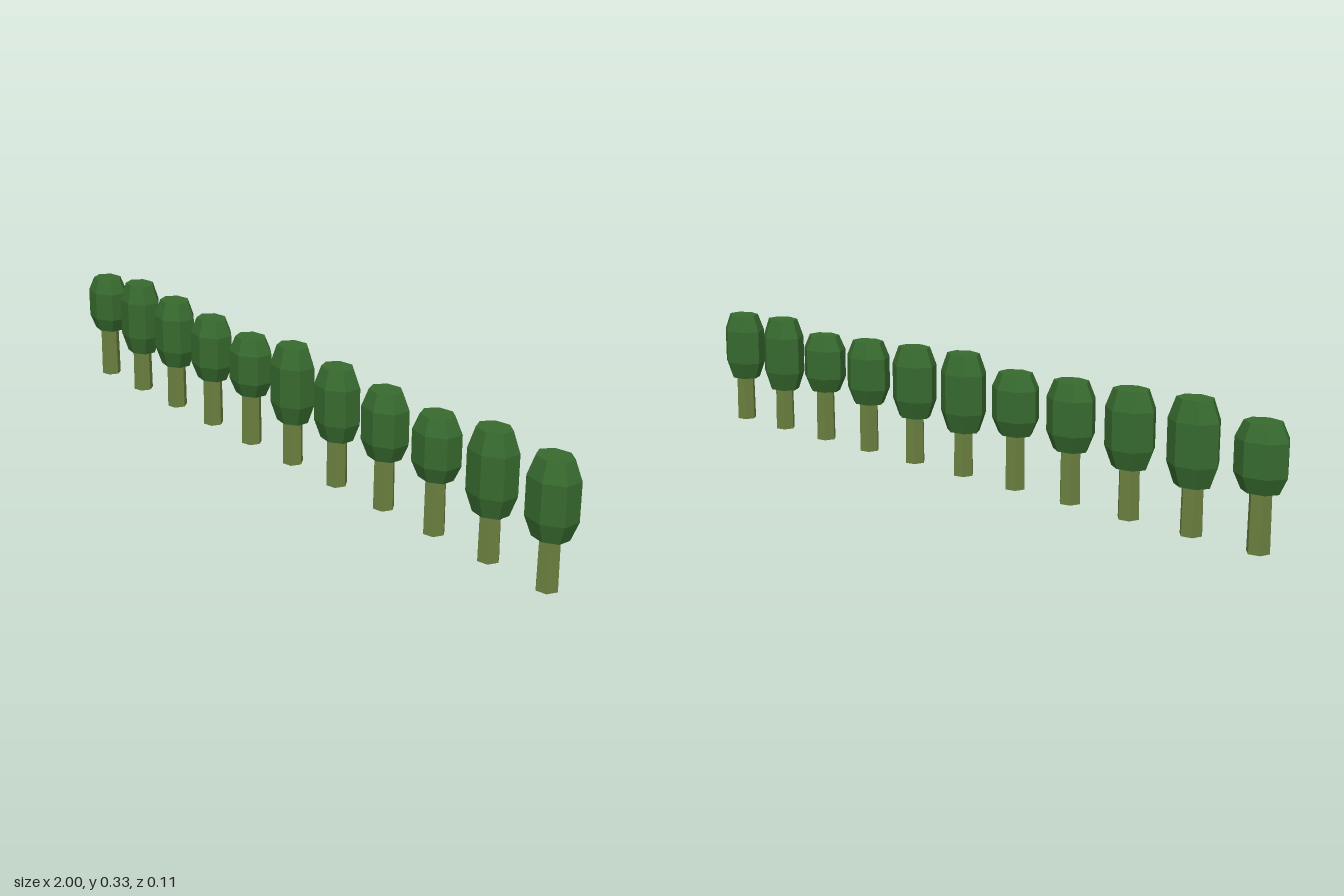
import * as THREE from 'three';

const leafGreen = new THREE.MeshStandardMaterial({ color: 0x376a2f, flatShading: true });
leafGreen.name = 'leafGreen';
const trunkOlive = new THREE.MeshStandardMaterial({ color: 0x6b8040, flatShading: true });
trunkOlive.name = 'trunkOlive';

const COUNT = 11;
const SPACING = 0.1871;
const FIRST_X = -0.932;
const CROWN_Y = 0.228; // crown centre height
const CROWN_HEIGHTS = [0.163, 0.211, 0.195, 0.178]; // repeats along the row

// Seven-sided barrel crown of unit height, narrower front to back
function crownGeometry() {
  const r = 0.068;
  const profile = [[0, -0.5], [0.71, -0.5], [1, -0.25], [1, 0.25], [0.71, 0.5], [0, 0.5]]
    .map(([x, y]) => new THREE.Vector2(x * r, y));
  const geometry = new THREE.LatheGeometry(profile, 7, -Math.PI / 2);
  geometry.scale(1, 1, 0.815);
  return geometry;
}

// Slightly tapered six-sided trunk standing on the ground
function trunkGeometry() {
  const height = 0.16;
  const geometry = new THREE.CylinderGeometry(0.0272, 0.0288, height, 6, 1, false, THREE.MathUtils.degToRad(42));
  geometry.translate(0, height / 2, 0);
  return geometry;
}

export function createModel() {
  const group = new THREE.Group();
  group.name = 'treeRow';
  const crownShape = crownGeometry();
  const trunkShape = trunkGeometry();

  for (let i = 0; i < COUNT; i++) {
    const tree = new THREE.Group();
    tree.name = `tree${i + 1}`;
    tree.position.x = FIRST_X + i * SPACING;

    const trunk = new THREE.Mesh(trunkShape, trunkOlive);
    trunk.name = 'trunk';

    const crown = new THREE.Mesh(crownShape, leafGreen);
    crown.name = 'crown';
    crown.position.y = CROWN_Y;
    crown.scale.y = CROWN_HEIGHTS[i % CROWN_HEIGHTS.length];

    tree.add(trunk, crown);
    group.add(tree);
  }
  return group;
}
